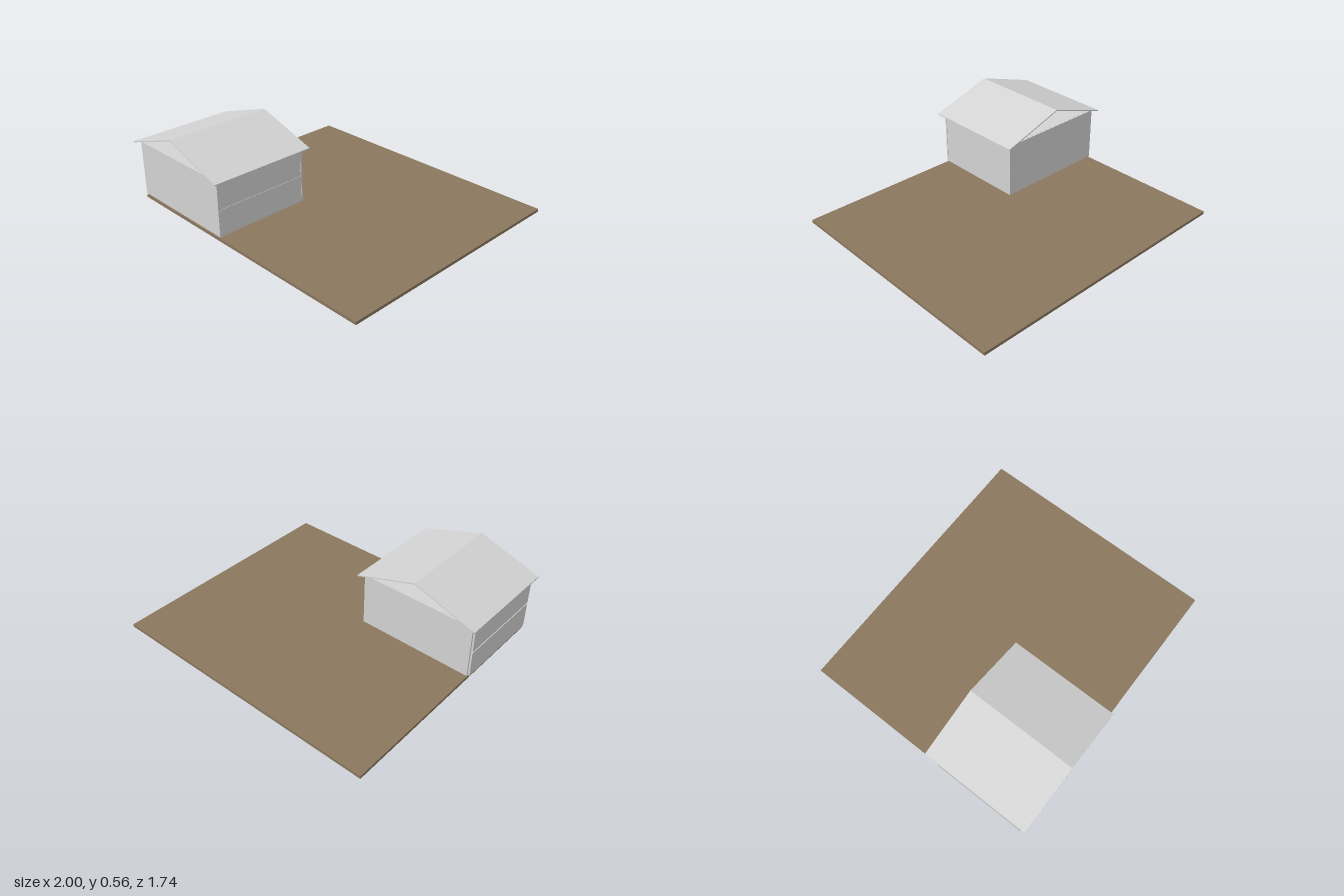
import * as THREE from 'three';

export function createModel() {
  const model = new THREE.Group();
  const earth = new THREE.MeshStandardMaterial({ color: 0x8a775e });
  earth.name = 'earth brown';
  const plaster = new THREE.MeshStandardMaterial({ color: 0xd3d3d3 });
  plaster.name = 'plaster grey';

  // Box given by its extents on each axis
  function slab(name, material, [x0, x1], [y0, y1], [z0, z1], parent) {
    const mesh = new THREE.Mesh(new THREE.BoxGeometry(x1 - x0, y1 - y0, z1 - z0), material);
    mesh.position.set((x0 + x1) / 2, (y0 + y1) / 2, (z0 + z1) / 2);
    mesh.name = name;
    parent.add(mesh);
  }

  // Plot of land
  slab('ground', earth, [-0.968, 1], [0, 0.02], [-0.872, 0.837], model);

  const house = new THREE.Group();
  house.name = 'house';
  model.add(house);

  // Full-height front and back walls
  const width = [-0.968, -0.15];
  slab('frontWall', plaster, width, [0.03, 0.41], [0.824, 0.837], house);
  slab('backWall', plaster, width, [0.03, 0.41], [0.158, 0.17], house);

  // Side walls, one panel per storey, between the front and back walls
  const depth = [0.171, 0.823];
  for (const [storey, height] of [['lower', [0.03, 0.213]], ['upper', [0.222, 0.404]]]) {
    slab(storey + 'RightWall', plaster, [-0.98, -0.968], height, depth, house);
    slab(storey + 'LeftWall', plaster, [-0.163, -0.151], height, depth, house);
  }

  // Floors and the ceiling under the open gables
  for (const [name, y] of [['groundFloor', 0.03], ['upperFloor', 0.214], ['ceiling', 0.403]]) {
    slab(name, plaster, [-0.967, -0.152], [y, y + 0.007], depth, house);
  }

  // Thin pitched roof, open at both ends
  const chevron = new THREE.Shape([
    [-1, 0.405], [-0.558, 0.55], [-0.115, 0.405],
    [-0.115, 0.413], [-0.558, 0.558], [-1, 0.413],
  ].map(([x, y]) => new THREE.Vector2(x, y)));
  const roof = new THREE.Mesh(
    new THREE.ExtrudeGeometry(chevron, { depth: 0.749, bevelEnabled: false }), plaster);
  roof.position.z = 0.123;
  roof.name = 'roof';
  house.add(roof);

  return model;
}
